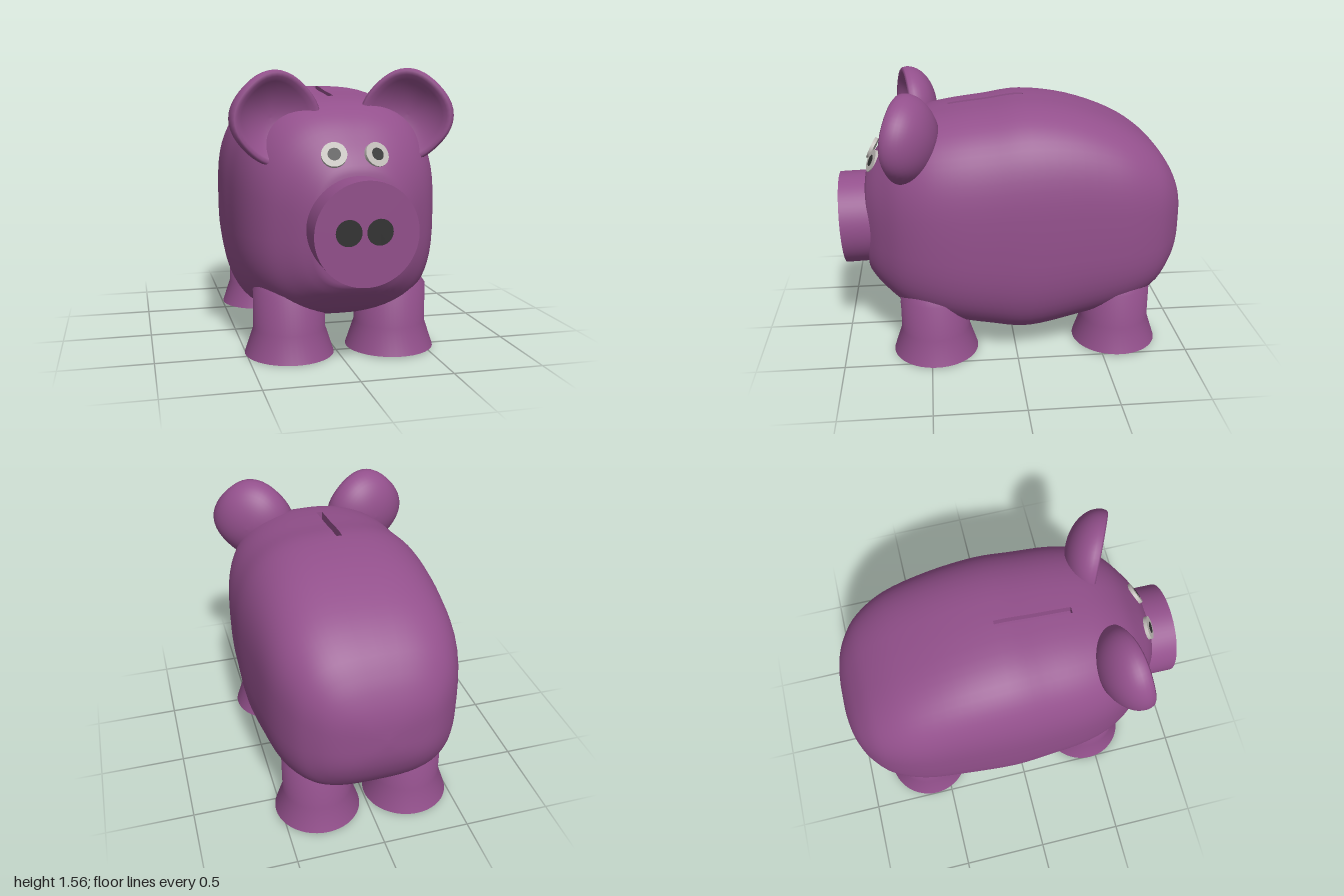
import * as THREE from 'three';
import { toCreasedNormals } from 'three/addons/utils/BufferGeometryUtils.js';

const mat = (color) => new THREE.MeshStandardMaterial({ color });
const skin = mat(0x93508c);
const dark = mat(0x333333);
const white = mat(0xc0bcb8);

function add(parent, name, geometry, material, x = 0, y = 0, z = 0) {
  const mesh = new THREE.Mesh(geometry, material);
  mesh.name = name;
  mesh.position.set(x, y, z);
  parent.add(mesh);
  return mesh;
}

const lathe = (points, sides = 48) =>
  new THREE.LatheGeometry(points.map(([r, y]) => new THREE.Vector2(r, y)), sides);

// Body sections from tail to face: z, top, bottom, half width
const SECTIONS = [
  [-1, 0.74, 0.72, 0], [-0.99, 0.86, 0.62, 0.14], [-0.96, 0.965, 0.52, 0.27],
  [-0.9, 1.08, 0.41, 0.37], [-0.8, 1.2, 0.3, 0.458], [-0.62, 1.32, 0.22, 0.528],
  [-0.35, 1.42, 0.15, 0.56], [-0.07, 1.46, 0.095, 0.577], [0.15, 1.435, 0.125, 0.57],
  [0.36, 1.41, 0.17, 0.558], [0.52, 1.375, 0.22, 0.522], [0.65, 1.3, 0.275, 0.455],
  [0.75, 1.19, 0.35, 0.36], [0.82, 1.09, 0.42, 0.27], [0.85, 1, 0.49, 0.2],
  [0.86, 0.76, 0.74, 0],
];
const SLOT_START = 7, SLOT_END = 9; // sections where the coin slot begins and ends

function bodyGeometry() {
  const curve = (a, b) => new THREE.CatmullRomCurve3(
    SECTIONS.map((s) => new THREE.Vector3(s[0], s[a], s[b])), false, 'catmullrom', 0.5);
  const heights = curve(1, 2), widths = curve(3, 3);
  const steps = 4, columns = 64, slotDepth = 0.05;
  const last = (SECTIONS.length - 1) * steps;
  const vertices = [], indices = [];
  let rows = 0;

  // One rounded-square ring, with a notch at the top for the coin slot
  const ring = (i, depth) => {
    const { x: z, y: top, z: bottom } = heights.getPoint(i / last);
    const w = Math.max(0, widths.getPoint(i / last).y);
    const cx = 0.02 + 0.015 * z, mid = (top + bottom) / 2, h = (top - bottom) / 2;
    const slotX = cx * (1 - Math.min(1, w / 0.5)), half = Math.min(0.0175, 0.05 * w);
    vertices.push(slotX + half, top, z);
    for (let j = 1; j < columns; j++) {
      const a = (j / columns) * Math.PI * 2, s = Math.sin(a), c = Math.cos(a);
      const power = 2 / (c > 0 ? 2.85 - 0.35 * z : 3.1); // squarer towards belly and tail
      vertices.push(
        cx + w * Math.sign(s) * Math.abs(s) ** power,
        mid + h * Math.sign(c) * Math.abs(c) ** power, z);
    }
    vertices.push(slotX - half, top, z, slotX - half, top - depth, z, slotX + half, top - depth, z);
    rows++;
  };
  for (let i = 0; i <= last; i++) {
    const first = i === SLOT_START * steps, end = i === SLOT_END * steps;
    if (first) ring(i, 0);
    ring(i, i >= SLOT_START * steps && i <= SLOT_END * steps ? slotDepth : 0);
    if (end) ring(i, 0);
  }

  const n = columns + 3;
  for (let i = 0; i < rows - 1; i++) {
    for (let j = 0; j < n; j++) {
      const a = i * n + j, b = i * n + ((j + 1) % n);
      indices.push(a, a + n, b, b, a + n, b + n);
    }
  }
  const geometry = new THREE.BufferGeometry();
  geometry.setAttribute('position', new THREE.Float32BufferAttribute(vertices, 3));
  geometry.setIndex(indices);
  return toCreasedNormals(geometry, 0.7);
}

// Thick cupped ear with a soft lip, opening towards +z
function earGeometry() {
  const points = [];
  for (let i = 0; i <= 12; i++) {
    const a = (i / 12) * Math.PI / 2;
    points.push([0.25 * Math.sin(a), -0.01 - 0.17 * Math.cos(a)]);
  }
  points.push([0.246, 0.015], [0.235, 0.025], [0.215, 0.02]);
  for (let i = 8; i >= 0; i--) {
    const t = i / 9;
    points.push([0.215 * t, 0.02 - 0.1 * (1 - t * t)]);
  }
  // Slightly flattened on the diagonals
  const geometry = lathe(points).rotateX(Math.PI / 2);
  const p = geometry.attributes.position;
  for (let i = 0; i < p.count; i++) {
    const k = 1 - 0.06 * Math.sin(2 * Math.atan2(p.getY(i), p.getX(i))) ** 2;
    p.setXY(i, p.getX(i) * k, p.getY(i) * k);
  }
  return geometry;
}

export function createModel() {
  const model = new THREE.Group();
  model.name = 'piggyBank';

  add(model, 'body', bodyGeometry(), skin);

  // Snout with nostrils
  const snout = new THREE.Group();
  snout.name = 'snout';
  snout.position.set(0.03, 0.745, 0.99);
  snout.rotation.x = 0.035;
  model.add(snout);
  add(snout, 'snoutBarrel', new THREE.CylinderGeometry(0.27, 0.27, 0.2, 64).rotateX(Math.PI / 2), skin, 0, 0, -0.1);
  for (const [name, x] of [['rightNostril', -0.095], ['leftNostril', 0.065]]) {
    add(snout, name, new THREE.CircleGeometry(0.068, 32), dark, x, 0.012, 0.003);
  }

  // Eyes, tipped back to lie on the forehead
  for (const [name, x, y, z, yaw] of [
    ['rightEye', -0.095, 1.125, 0.81, -0.15], ['leftEye', 0.132, 1.12, 0.798, 0.25]]) {
    const eye = new THREE.Group();
    eye.name = name;
    eye.position.set(x, y, z);
    eye.rotation.set(-0.45, yaw, 0);
    model.add(eye);
    add(eye, 'eyeball', new THREE.CylinderGeometry(0.066, 0.066, 0.02, 32).rotateX(Math.PI / 2), white);
    add(eye, 'pupil', new THREE.CircleGeometry(0.034, 24), dark, 0, 0, 0.013);
  }

  // Ears
  const ear = earGeometry();
  add(model, 'rightEar', ear, skin, -0.35, 1.3, 0.6).rotation.y = 0.2;
  add(model, 'leftEar', ear, skin, 0.355, 1.31, 0.61).rotation.y = -0.43;

  // Legs with flared feet and rounded tops buried in the body
  const leg = toCreasedNormals(
    lathe([[0, 0], [0.248, 0], [0.2, 0.145], [0.2, 0.36], [0.16, 0.42], [0, 0.44]]), 0.6);
  for (const [name, x, y, z] of [
    ['frontRightLeg', -0.258, 0, 0.458], ['frontLeftLeg', 0.317, 0.008, 0.472],
    ['backRightLeg', -0.252, 0.012, -0.603], ['backLeftLeg', 0.285, 0.012, -0.603]]) {
    add(model, name, leg, skin, x, y, z);
  }
  return model;
}
